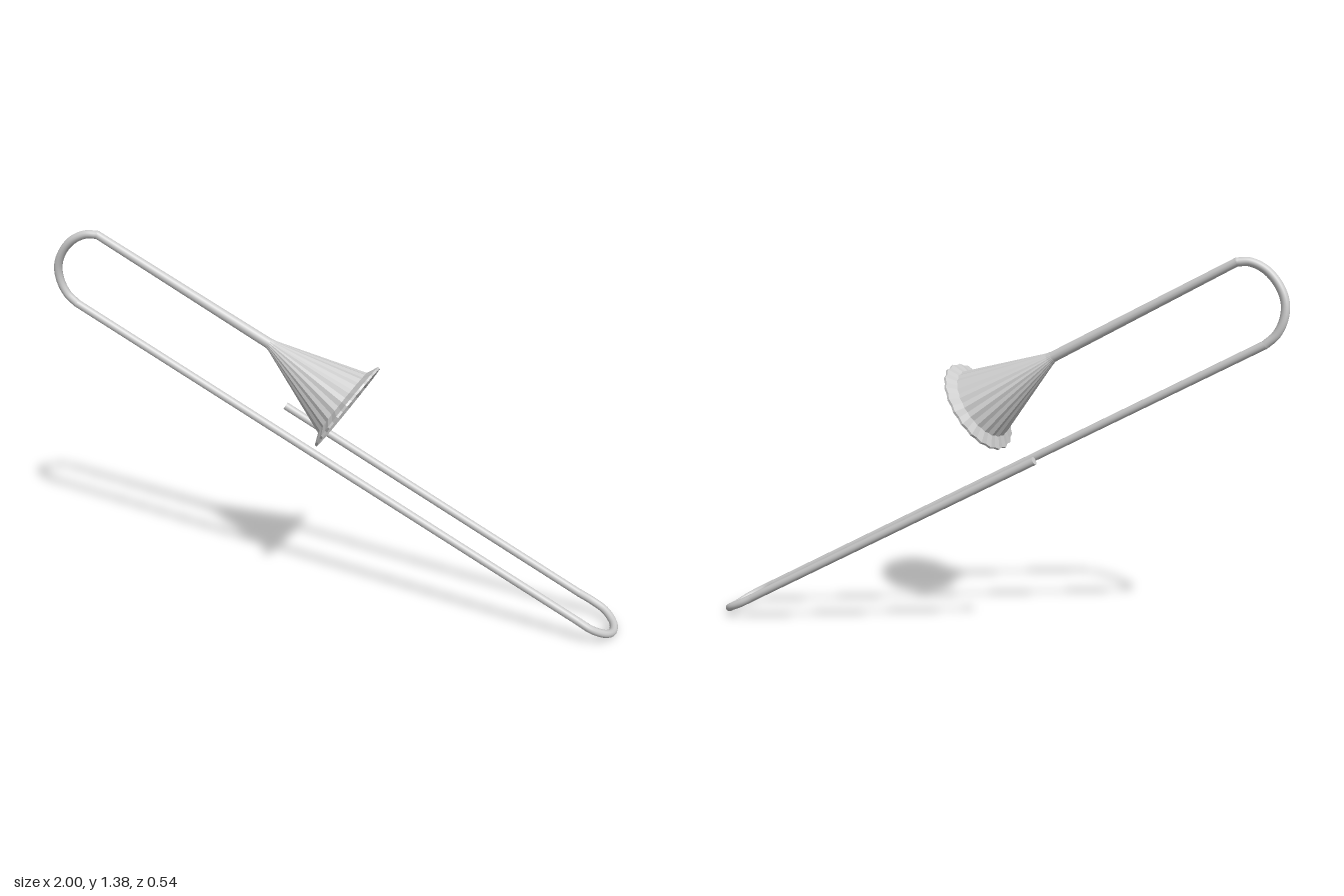
import * as THREE from 'three';

const V = (x, y, z) => new THREE.Vector3(x, y, z);
const UP = V(0, 1, 0);
const R = 0.0145; // tube radius

export function createModel() {
  const group = new THREE.Group();
  const grey = new THREE.MeshStandardMaterial({ color: 0xcccccc });
  const faceted = new THREE.MeshStandardMaterial({ color: 0xcccccc, flatShading: true, side: THREE.DoubleSide });

  function add(name, geometry, material = grey) {
    const mesh = new THREE.Mesh(geometry, material);
    mesh.name = name;
    group.add(mesh);
    return mesh;
  }

  // Straight pipe between two points, optionally tapered
  function pipe(name, a, b, ra = R, rb = R) {
    const mesh = add(name, new THREE.CylinderGeometry(rb, ra, a.distanceTo(b), 12));
    mesh.position.copy(a).lerp(b, 0.5);
    mesh.quaternion.setFromUnitVectors(UP, b.clone().sub(a).normalize());
  }

  // Curved pipe through points, with a rounded joint at each end
  function bow(name, points) {
    const curve = new THREE.CatmullRomCurve3(points);
    add(name, new THREE.TubeGeometry(curve, 40, R, 12));
    for (const p of [points[0], points[points.length - 1]]) {
      add(name + 'Joint', new THREE.SphereGeometry(R, 12, 8)).position.copy(p);
    }
  }

  const upperBow = [
    V(-0.832, 1.372, -0.21), V(-0.872, 1.373, -0.214), V(-0.922, 1.35, -0.225), V(-0.964, 1.302, -0.242),
    V(-0.984, 1.249, -0.254), V(-0.981, 1.195, -0.259), V(-0.96, 1.147, -0.256), V(-0.928, 1.115, -0.249),
  ];
  const lowerBow = [
    V(0.83, 0.094, 0.242), V(0.88, 0.065, 0.255), V(0.935, 0.037, 0.239), V(0.973, 0.019, 0.192),
    V(0.984, 0.023, 0.138), V(0.963, 0.044, 0.089), V(0.92, 0.068, 0.062), V(0.87, 0.096, 0.051),
  ];
  const neck = V(-0.24, 1.031, -0.042);
  const mouth = V(0.025, 0.835, 0.055);

  // Tubing
  bow('tuningBow', upperBow);
  bow('slideBow', lowerBow);
  pipe('bellTube', upperBow[0], neck, R, 0.019);
  pipe('longSlideTube', upperBow[7], lowerBow[0]);
  pipe('shortSlideTube', lowerBow[7], V(-0.198, 0.718, -0.25));

  // Pleated bell: narrow neck, cone, flat rim and shallow mouth
  const length = neck.distanceTo(mouth);
  const profile = [
    [0, -0.005], [0.019, -0.005], [0.022, 0.01], [0.132, length - 0.025],
    [0.171, length - 0.008], [0.171, length], [0, length - 0.09],
  ].map(([r, y]) => new THREE.Vector2(r, y));
  const sides = 44;
  const bellGeometry = new THREE.LatheGeometry(profile, sides);
  const pos = bellGeometry.attributes.position;
  for (let i = 0; i < pos.count; i++) {
    const column = Math.floor(i / profile.length) % sides;
    const k = column % 2 ? 0.975 : 1.01; // alternate ridges and grooves
    pos.setX(i, pos.getX(i) * k);
    pos.setZ(i, pos.getZ(i) * k);
  }
  bellGeometry.computeVertexNormals();
  const bell = add('bell', bellGeometry, faceted);
  bell.position.copy(neck);
  bell.quaternion.setFromUnitVectors(UP, mouth.clone().sub(neck).normalize());

  return group;
}
